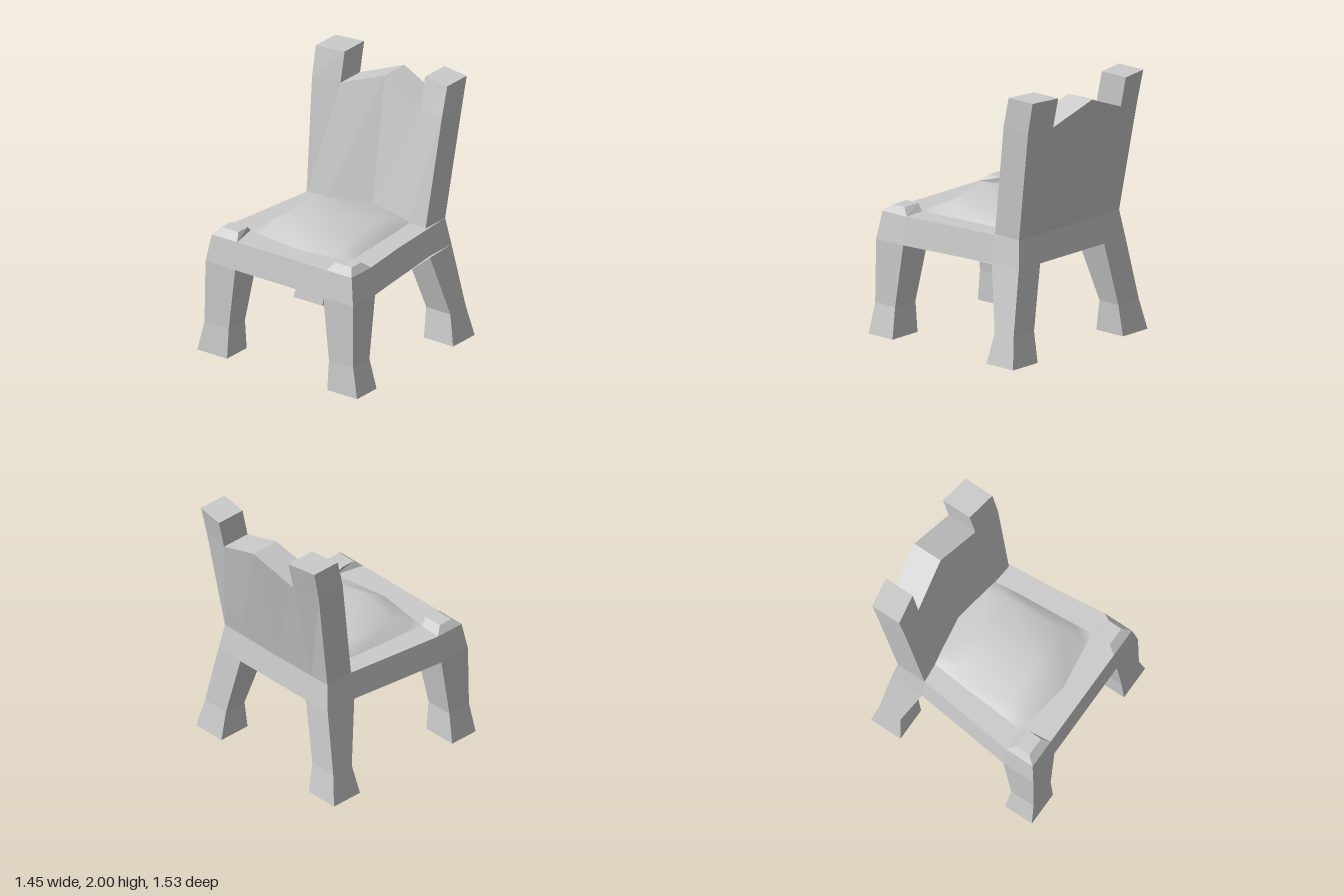
import * as THREE from 'three';

const flatMat = new THREE.MeshStandardMaterial({ color: 0xcccccc, flatShading: true, side: THREE.DoubleSide });
const softMat = new THREE.MeshStandardMaterial({ color: 0xcccccc, side: THREE.DoubleSide });

// Closed solid through rings of [x, y, z] corners, counter-clockwise seen from above
function loft(rings) {
  const n = rings[0].length, pos = [];
  const tri = (a, b, c) => pos.push(...a, ...b, ...c);
  for (let i = 0; i < rings.length - 1; i++) {
    for (let j = 0; j < n; j++) {
      const k = (j + 1) % n, lo = rings[i], hi = rings[i + 1];
      tri(lo[j], lo[k], hi[k]);
      tri(lo[j], hi[k], hi[j]);
    }
  }
  const bottom = rings[0], top = rings[rings.length - 1];
  for (let j = 1; j < n - 1; j++) {
    tri(bottom[0], bottom[j + 1], bottom[j]);
    tri(top[0], top[j], top[j + 1]);
  }
  const g = new THREE.BufferGeometry();
  g.setAttribute('position', new THREE.Float32BufferAttribute(pos, 3));
  g.computeVertexNormals();
  return g;
}

// Rectangular ring at height y
const rect = (y, x0, x1, z0, z1) => [[x0, y, z1], [x1, y, z1], [x1, y, z0], [x0, y, z0]];

// Mirror rings across x = 0, keeping the winding
const mirror = rings => rings.map(r => r.map(([x, y, z]) => [-x, y, z]).reverse());

export function createModel() {
  const model = new THREE.Group();
  const add = (name, geometry, material = flatMat) => {
    const mesh = new THREE.Mesh(geometry, material);
    mesh.name = name;
    model.add(mesh);
  };
  const addPair = (name, rings) => {
    add('left' + name, loft(rings));
    add('right' + name, loft(mirror(rings)));
  };

  // Legs with flared feet
  addPair('FrontLeg', [
    rect(0, 0.455, 0.725, 0.53, 0.765),
    rect(0.23, 0.455, 0.675, 0.55, 0.745),
    rect(0.71, 0.40, 0.67, 0.475, 0.74),
  ]);
  addPair('BackLeg', [
    rect(0, 0.46, 0.725, -0.65, -0.39),
    rect(0.23, 0.455, 0.675, -0.61, -0.425),
    rect(0.71, 0.345, 0.575, -0.57, -0.305),
  ]);

  // Bevelled knobs on the front corners
  addPair('CornerKnob', [
    [[0.405, 0.92, 0.71], [0.635, 0.92, 0.71], [0.635, 0.92, 0.475], [0.455, 0.92, 0.485]],
    rect(0.97, 0.44, 0.59, 0.535, 0.65),
  ]);

  // Seat frame
  const outline = (y, pts) => [
    ...pts.map(([x, z]) => [x, y, z]),
    ...pts.map(([x, z]) => [-x, y, z]).reverse(),
  ];
  add('seatFrame', loft([
    outline(0.71, [[0.67, 0.74], [0.67, 0.475], [0.575, -0.305], [0.575, -0.57]]),
    outline(0.92, [[0.635, 0.71], [0.635, 0.475], [0.54, -0.305], [0.54, -0.54]]),
  ]));

  // Leaning back posts
  addPair('BackPost', [
    [[0.375, 0.92, -0.32], [0.54, 0.92, -0.305], [0.54, 0.92, -0.54], [0.375, 0.92, -0.54]],
    [[0.365, 1.77, -0.48], [0.59, 1.77, -0.435], [0.59, 1.77, -0.675], [0.365, 1.77, -0.715]],
    [[0.365, 2, -0.53], [0.597, 2, -0.49], [0.597, 2, -0.725], [0.365, 2, -0.765]],
  ]);

  // Back panel halves meeting at a raised centre peak
  addPair('BackPanel', [
    [[0, 0.92, -0.375], [0.375, 0.92, -0.32], [0.375, 0.92, -0.54], [0, 0.92, -0.545]],
    [[0, 1.91, -0.535], [0.365, 1.77, -0.48], [0.365, 1.77, -0.715], [0, 1.91, -0.765]],
  ]);

  // Domed cushion: rows from front to back, each mirrored from centre to edge
  const rows = [
    [[0, 0.922, 0.55], [0.34, 0.922, 0.50], [0.455, 0.922, 0.485]],
    [[0, 1.07, 0.32], [0.34, 1.0, 0.32], [0.44, 0.922, 0.33]],
    [[0, 1.012, -0.14], [0.31, 0.995, -0.14], [0.405, 0.922, -0.14]],
    [[0, 0.945, -0.38], [0.29, 0.935, -0.335], [0.385, 0.922, -0.32]],
  ];
  const pos = [], index = [], w = 5;
  rows.forEach(([c, m, e]) => {
    const flip = ([x, y, z]) => [-x, y, z];
    pos.push(...flip(e), ...flip(m), ...c, ...m, ...e);
  });
  for (let r = 0; r < rows.length - 1; r++) {
    for (let i = 0; i < w - 1; i++) {
      const a = r * w + i, b = a + 1, c = b + w, d = a + w;
      if (i < 2) index.push(a, b, d, b, c, d);
      else index.push(a, b, c, a, c, d);
    }
  }
  const cushion = new THREE.BufferGeometry();
  cushion.setAttribute('position', new THREE.Float32BufferAttribute(pos, 3));
  cushion.setIndex(index);
  cushion.computeVertexNormals();
  add('cushion', cushion, softMat);

  return model;
}
